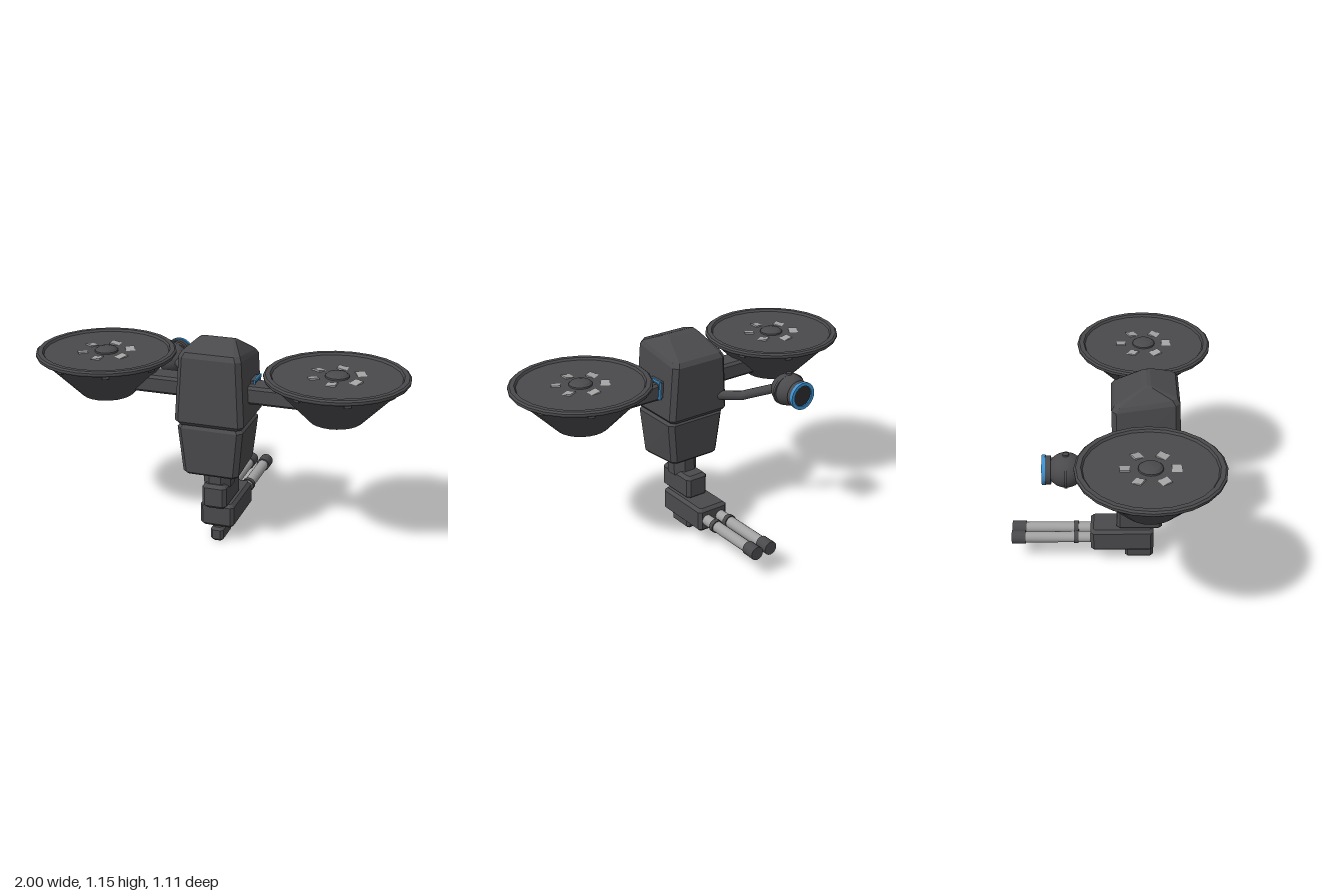
import * as THREE from 'three';
import { toCreasedNormals } from 'three/addons/utils/BufferGeometryUtils.js';
import { ConvexGeometry } from 'three/addons/geometries/ConvexGeometry.js';

const flat = (name, color) => {
  const m = new THREE.MeshStandardMaterial({ color });
  m.name = name;
  return m;
};

export function createModel() {
  const dark = flat('dark grey', 0x4a4a4d);
  const steel = flat('light steel', 0xa2a2a2);
  const blue = flat('blue', 0x3a92d4);
  const black = flat('lens black', 0x2b2b2e);

  const root = new THREE.Group();
  root.name = 'turret';

  const add = (name, geometry, material, parent = root, x = 0, y = 0, z = 0) => {
    const mesh = new THREE.Mesh(geometry, material);
    mesh.name = name;
    mesh.position.set(x, y, z);
    parent.add(mesh);
    return mesh;
  };

  // Octagonal cross-section with cut corners; yF and yB are the front and back heights
  const ring = (yF, yB, hx, zB, zF, c) => {
    const pts = [];
    for (const s of [-1, 1]) {
      pts.push(new THREE.Vector3(s * hx, yF, zF - c), new THREE.Vector3(s * (hx - c), yF, zF));
      pts.push(new THREE.Vector3(s * hx, yB, zB + c), new THREE.Vector3(s * (hx - c), yB, zB));
    }
    return pts;
  };
  const hull = (...rings) => new ConvexGeometry(rings.flat());

  // Block with all edges chamfered
  const block = (hx, y0, y1, zB, zF, c) => hull(
    ring(y0, y0, hx - c, zB + c, zF - c, c / 2),
    ring(y0 + c, y0 + c, hx, zB, zF, c),
    ring(y1 - c, y1 - c, hx, zB, zF, c),
    ring(y1, y1, hx - c, zB + c, zF - c, c / 2));

  const lathe = (profile, sides) => toCreasedNormals(
    new THREE.LatheGeometry(profile.map(p => new THREE.Vector2(...p)), sides), 0.45);
  const rodZ = (r, length, sides = 16) => toCreasedNormals(
    new THREE.CylinderGeometry(r, r, length, sides).rotateX(Math.PI / 2), 0.5);

  // Central body
  add('upperBody', hull(
    ring(0.715, 0.715, 0.17, 0.02, 0.35, 0.02),
    ring(0.735, 0.735, 0.187, 0.005, 0.365, 0.025),
    ring(1.08, 1.035, 0.167, -0.003, 0.35, 0.025),
    ring(1.105, 1.06, 0.155, 0.012, 0.335, 0.025),
    ring(1.15, 1.145, 0.1, 0.155, 0.215, 0.01),
    ring(1.155, 1.155, 0.085, 0.18, 0.2, 0.005)), dark);
  add('lowerBody', hull(
    ring(0.715, 0.715, 0.16, 0.045, 0.34, 0.02),
    ring(0.695, 0.695, 0.177, 0.03, 0.352, 0.025),
    ring(0.445, 0.465, 0.152, 0.045, 0.342, 0.025),
    ring(0.43, 0.45, 0.138, 0.06, 0.325, 0.02)), dark);

  // Neck and stacked blocks under the body
  const neck = new THREE.CylinderGeometry(0.081, 0.081, 0.13, 8).rotateY(Math.PI / 8);
  add('neck', toCreasedNormals(neck, 0.3), dark, root, 0, 0.395, 0.18);
  add('neckBlock', block(0.067, 0.215, 0.354, 0.028, 0.28, 0.018), dark);
  add('gunBlock', block(0.094, 0.087, 0.225, -0.117, 0.233, 0.017), dark);
  add('footBlock', block(0.036, 0, 0.08, 0.076, 0.233, 0.014), dark);

  // Twin gun barrels
  for (const s of [-1, 1]) {
    const gun = new THREE.Group();
    gun.name = s > 0 ? 'leftGun' : 'rightGun';
    gun.position.set(s * 0.045, 0.155, 0);
    add('barrel', rodZ(0.031, 0.42), steel, gun, 0, 0, -0.3);
    add('barrelRing', rodZ(0.037, 0.026), dark, gun, 0, 0, -0.198);
    add('muzzle', rodZ(0.038, 0.077), dark, gun, 0, 0, -0.518);
    root.add(gun);
  }

  // Rotor dishes on side arms
  const dishGeometry = lathe([[0, 0.78], [0.14, 0.78], [0.345, 0.992], [0.366, 0.994], [0.372, 1.003],
    [0.372, 1.014], [0.362, 1.022], [0.338, 1.022], [0.33, 1.01], [0, 1.01]], 24);
  const hubGeometry = lathe([[0.063, 1.005], [0.061, 1.018], [0.048, 1.029], [0.025, 1.035], [0, 1.036]], 20);
  const frameShape = new THREE.Shape([[-0.055, 0.84], [0.055, 0.84], [0.055, 0.945], [-0.055, 0.945]]
    .map(p => new THREE.Vector2(...p)));
  frameShape.holes.push(new THREE.Path([[-0.042, 0.853], [-0.042, 0.932], [0.042, 0.932], [0.042, 0.853]]
    .map(p => new THREE.Vector2(...p))));
  const frameGeometry = new THREE.ExtrudeGeometry(frameShape, { depth: 0.009, bevelEnabled: false })
    .rotateY(Math.PI / 2);

  for (const s of [-1, 1]) {
    const side = new THREE.Group();
    side.name = s > 0 ? 'leftRotor' : 'rightRotor';
    root.add(side);

    add('arm', block(0.2, 0.825, 0.922, 0.112, 0.247, 0.014), dark, side, s * 0.355);
    add('armMount', block(0.035, 0.845, 0.94, 0.095, 0.195, 0.005), dark, side, s * 0.163);
    add('blueFrame', frameGeometry, blue, side, s * 0.198 - 0.0045, 0, 0.147);

    const dish = new THREE.Group();
    dish.name = 'dish';
    dish.position.set(s * 0.628, 0, 0.184);
    side.add(dish);
    add('bowl', dishGeometry, dark, dish);
    add('hub', hubGeometry, dark, dish);

    // Tilted vanes around the hub
    for (let i = 0; i < 6; i++) {
      const spoke = new THREE.Group();
      spoke.name = 'vaneHolder';
      spoke.rotation.y = i * Math.PI / 3;
      const vane = add('vane', new THREE.BoxGeometry(0.055, 0.008, 0.05), steel, spoke, 0, 1.011, 0.126);
      vane.rotation.z = 0.2;
      dish.add(spoke);
    }
    // Small clips under the rim
    for (let i = 0; i < 8; i++) {
      const a = (i + 0.5) * Math.PI / 4;
      const clip = add('rimClip', new THREE.BoxGeometry(0.035, 0.014, 0.014), dark, dish,
        0.33 * Math.sin(a), 0.978, 0.33 * Math.cos(a));
      clip.rotation.y = a;
    }
  }

  // Camera eye on a bent arm behind the right side
  const path = new THREE.CurvePath();
  const bend = [[-0.12, 0.81, 0.03], [-0.2, 0.81, -0.04], [-0.225, 0.812, -0.065], [-0.25, 0.822, -0.087],
    [-0.38, 0.865, -0.19]].map(p => new THREE.Vector3(...p));
  for (let i = 1; i < bend.length; i++) path.add(new THREE.LineCurve3(bend[i - 1], bend[i]));
  add('cameraArm', new THREE.TubeGeometry(path, 24, 0.026, 10), dark);

  const eye = new THREE.Group();
  eye.name = 'cameraEye';
  eye.position.set(-0.413, 0.86, -0.232);
  root.add(eye);
  add('eyeBall', new THREE.SphereGeometry(0.094, 24, 16), dark, eye).scale.y = 0.93;
  add('eyeBand', rodZ(0.104, 0.014, 24), dark, eye).scale.y = 0.84;
  add('eyeKnob', new THREE.CylinderGeometry(0.016, 0.016, 0.035, 10), dark, eye, 0, 0.078, 0);
  add('lensHousing', rodZ(0.073, 0.034, 24), dark, eye, 0, 0, -0.092);
  add('lens', rodZ(0.058, 0.006, 24), black, eye, 0, 0, -0.109);
  const rim = lathe([[0.058, -0.01], [0.077, -0.01], [0.077, 0.008], [0.058, 0.008], [0.058, -0.01]], 24);
  add('lensRim', rim.rotateX(-Math.PI / 2), blue, eye, 0, 0, -0.112);

  return root;
}
